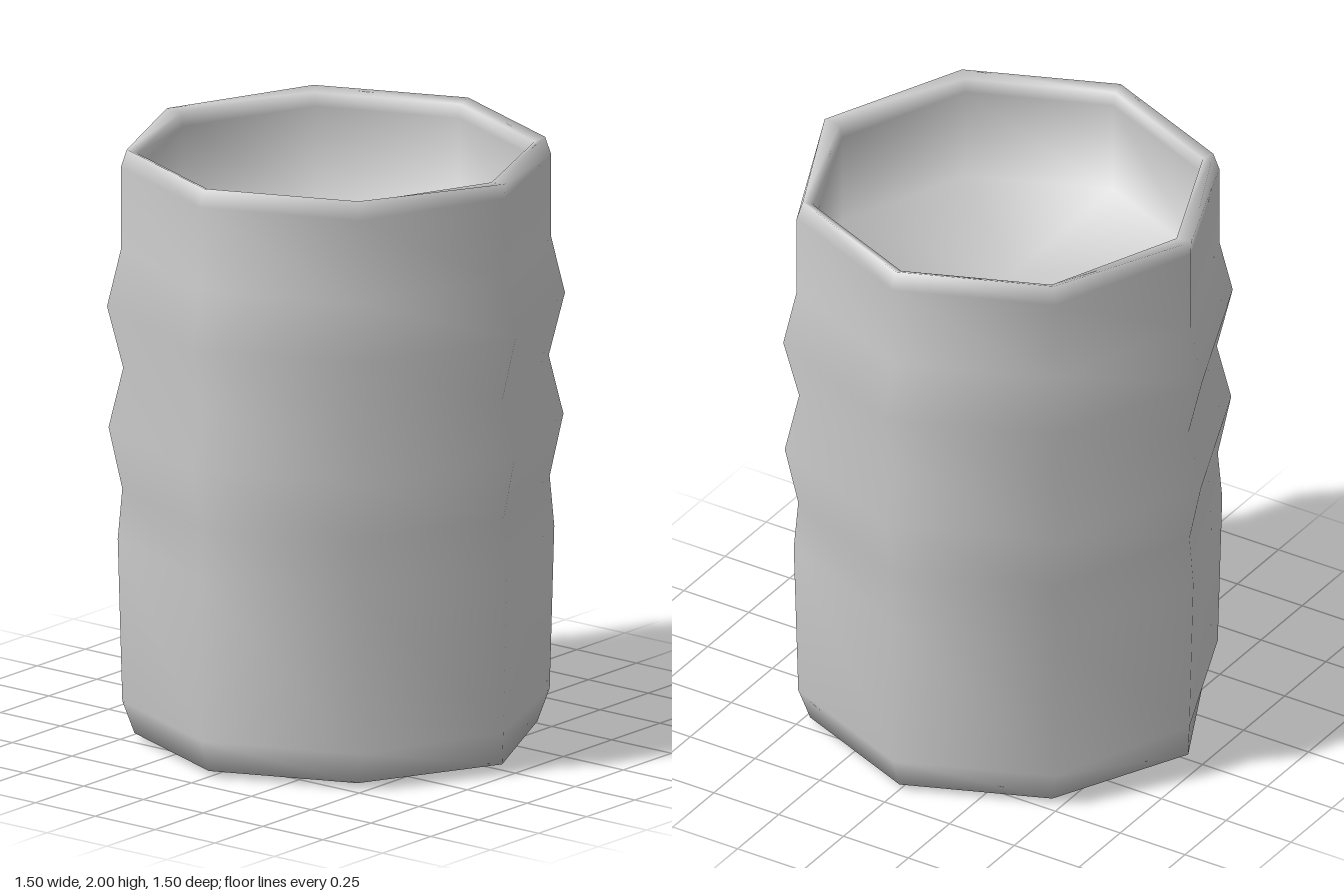
import * as THREE from 'three';
import { mergeVertices } from 'three/addons/utils/BufferGeometryUtils.js';

export function createModel() {
  const group = new THREE.Group();
  const material = new THREE.MeshStandardMaterial({ color: 0xcccccc });

  // Half section [radius, height]: underside, ribbed wall, rim, recess
  const profile = [
    [0, 0], [0.66, 0.02], [0.7, 0.13], [0.715, 0.68], [0.7, 0.85],
    [0.745, 1.06], [0.697, 1.26], [0.75, 1.47], [0.705, 1.66], [0.705, 1.94],
    [0.685, 2], [0.65, 1.985], [0.64, 1.94], [0.64, 1.62], [0, 1.62],
  ].map(([r, y]) => new THREE.Vector2(r, y));

  const lathe = new THREE.LatheGeometry(profile, 8);

  // The front and back corners are sharper at the base and rim
  const pos = lathe.attributes.position;
  for (let i = 0; i < pos.count; i++) {
    const z = pos.getZ(i), row = i % profile.length;
    if (Math.abs(pos.getX(i)) > 0.01) continue;
    if (row === 1) pos.setZ(i, Math.sign(z) * 0.695);
    if (row === 10) pos.setXYZ(i, 0, 1.99, Math.sign(z) * 0.707);
  }

  // Weld the seam so the shading stays smooth all the way round
  lathe.deleteAttribute('normal');
  lathe.deleteAttribute('uv');
  const geometry = mergeVertices(lathe);
  geometry.computeVertexNormals();

  const barrel = new THREE.Mesh(geometry, material);
  barrel.name = 'ribbedBarrel';
  group.add(barrel);
  return group;
}
